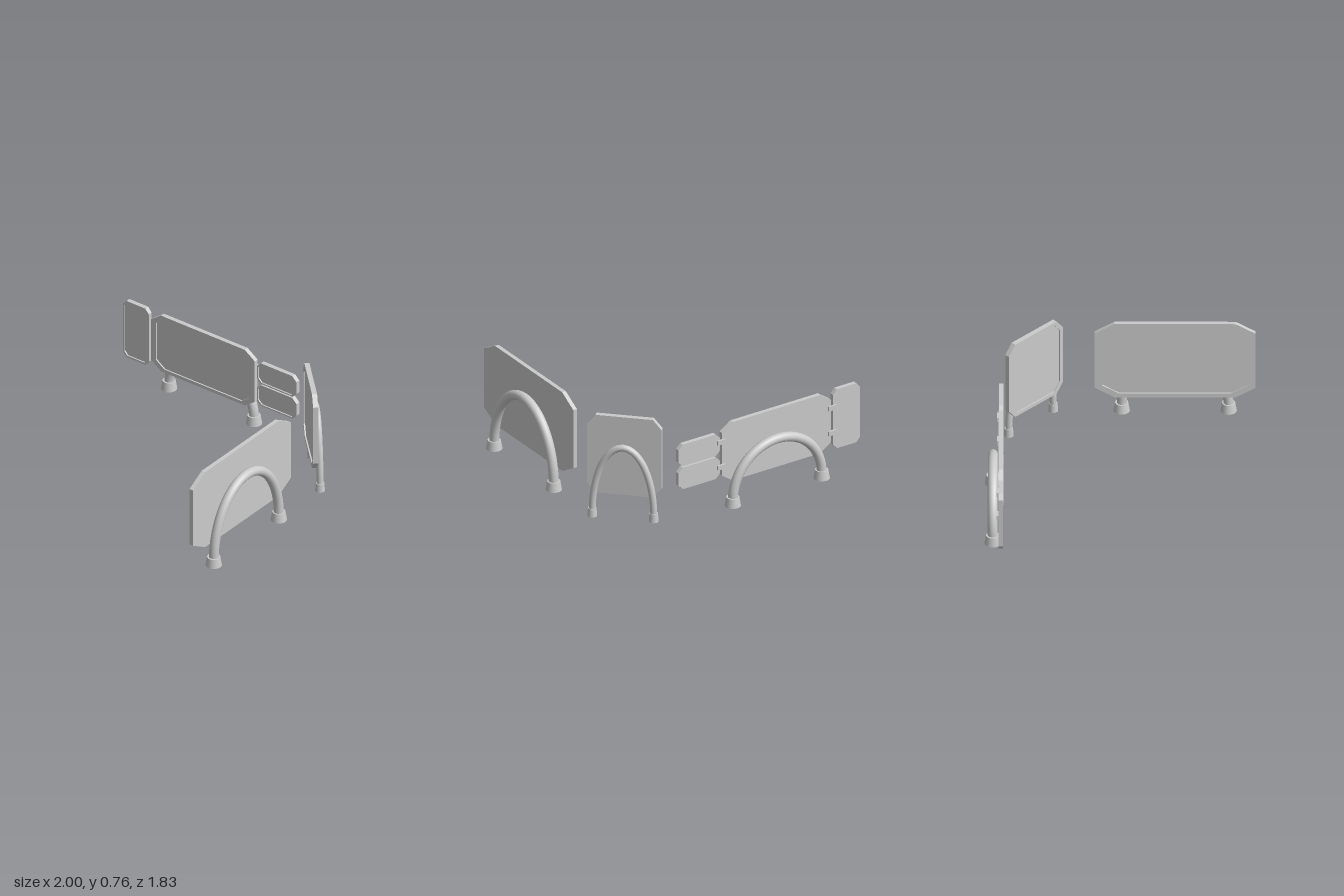
import * as THREE from 'three';

const grey = new THREE.MeshStandardMaterial({ color: 0xcccccc });

function mesh(name, geometry, x = 0, y = 0, z = 0) {
  const m = new THREE.Mesh(geometry, grey);
  m.name = name;
  m.position.set(x, y, z);
  return m;
}

// Rectangle with cut corners, centred on the origin
function octagon(w, h, cx, cy) {
  const a = w / 2, b = h / 2;
  return [[-a + cx, -b], [a - cx, -b], [a, -b + cy], [a, b - cy],
    [a - cx, b], [-a + cx, b], [-a, b - cy], [-a, -b + cy]].map(p => new THREE.Vector2(...p));
}

// Board with a raised rim on its front (+z) and a flat back
function board(name, { w, h, cx, cy, t = 0.032, inX, inY, depth = 0.01 }) {
  const g = new THREE.Group();
  g.name = name;
  const outline = octagon(w, h, cx, cy);
  const slab = new THREE.ExtrudeGeometry(new THREE.Shape(outline), { depth: t - depth, bevelEnabled: false });
  const rimShape = new THREE.Shape(outline);
  rimShape.holes.push(new THREE.Path(octagon(w - 2 * inX, h - 2 * inY, cx * 0.85, cy * 0.85).reverse()));
  const rim = new THREE.ExtrudeGeometry(rimShape, { depth, bevelEnabled: false });
  g.add(mesh('boardSlab', slab, 0, 0, -t / 2), mesh('boardRim', rim, 0, 0, t / 2 - depth));
  return g;
}

// Bent tube standing on two flared feet
function archStand({ span, top, r, footBottom, footTop, footHeight }) {
  const g = new THREE.Group();
  g.name = 'archStand';
  const base = 0.04, points = [];
  for (let i = 0; i <= 16; i++) {
    const a = Math.PI * (1 - i / 16);
    points.push(new THREE.Vector3(Math.cos(a) * span / 2, base + Math.sin(a) * (top - r - base), 0));
  }
  g.add(mesh('archTube', new THREE.TubeGeometry(new THREE.CatmullRomCurve3(points), 32, r, 16)));
  for (const s of [-1, 1]) {
    g.add(mesh('foot', new THREE.CylinderGeometry(footTop, footBottom, footHeight, 20),
      s * span / 2, footHeight / 2, 0));
  }
  return g;
}

const bigArch = { span: 0.725, r: 0.034, footBottom: 0.056, footTop: 0.045, footHeight: 0.065 };

export function createModel() {
  const model = new THREE.Group();
  model.name = 'screenSet';

  // Wide back screen with hinged side boards
  const back = new THREE.Group();
  back.name = 'backScreen';
  back.position.z = -0.807;
  const main = board('mainBoard', { w: 0.885, h: 0.445, cx: 0.085, cy: 0.06, inX: 0.042, inY: 0.024 });
  main.position.set(-0.318, 0.388, 0);
  const tall = board('tallSideBoard', { w: 0.22, h: 0.45, cx: 0.03, cy: 0.035, inX: 0.011, inY: 0.014 });
  tall.position.set(-0.89, 0.39, 0);
  back.add(main, tall);
  for (const y of [0.473, 0.298]) {
    const small = board('smallSideBoard', { w: 0.338, h: 0.165, cx: 0.035, cy: 0.035, inX: 0.012, inY: 0.01 });
    small.position.set(0.311, y, 0);
    back.add(small);
  }
  for (const x of [-0.77, 0.134]) {
    for (const y of [0.488, 0.298]) {
      back.add(mesh('hinge', new THREE.BoxGeometry(0.065, 0.034, 0.014), x, y, -0.021));
    }
  }
  const backArch = archStand({ ...bigArch, top: 0.44 });
  backArch.position.set(-0.298, 0, -0.055);
  back.add(backArch);

  // Narrow corner screen turned halfway
  const corner = new THREE.Group();
  corner.name = 'cornerScreen';
  corner.position.set(0.76, 0, -0.585);
  corner.rotation.y = -Math.PI / 4;
  const cornerBoard = board('cornerBoard',
    { w: 0.516, h: 0.592, cx: 0.06, cy: 0.072, t: 0.035, inX: 0.027, inY: 0.025 });
  cornerBoard.position.y = 0.465;
  const cornerArch = archStand({ span: 0.425, top: 0.56, r: 0.024, footBottom: 0.034, footTop: 0.029, footHeight: 0.06 });
  cornerArch.position.set(0.005, 0, -0.035);
  corner.add(cornerBoard, cornerArch);

  // Large side screen facing inwards
  const side = new THREE.Group();
  side.name = 'sideScreen';
  side.position.set(0.89, 0, 0.37);
  side.rotation.y = -Math.PI / 2;
  const sideBoard = board('sideBoard', { w: 1.09, h: 0.6, cx: 0.135, cy: 0.078, t: 0.03, inX: 0.05, inY: 0.032 });
  sideBoard.position.y = 0.45;
  const sideArch = archStand({ ...bigArch, top: 0.575 });
  sideArch.position.z = -0.052;
  side.add(sideBoard, sideArch);

  model.add(back, corner, side);
  return model;
}
